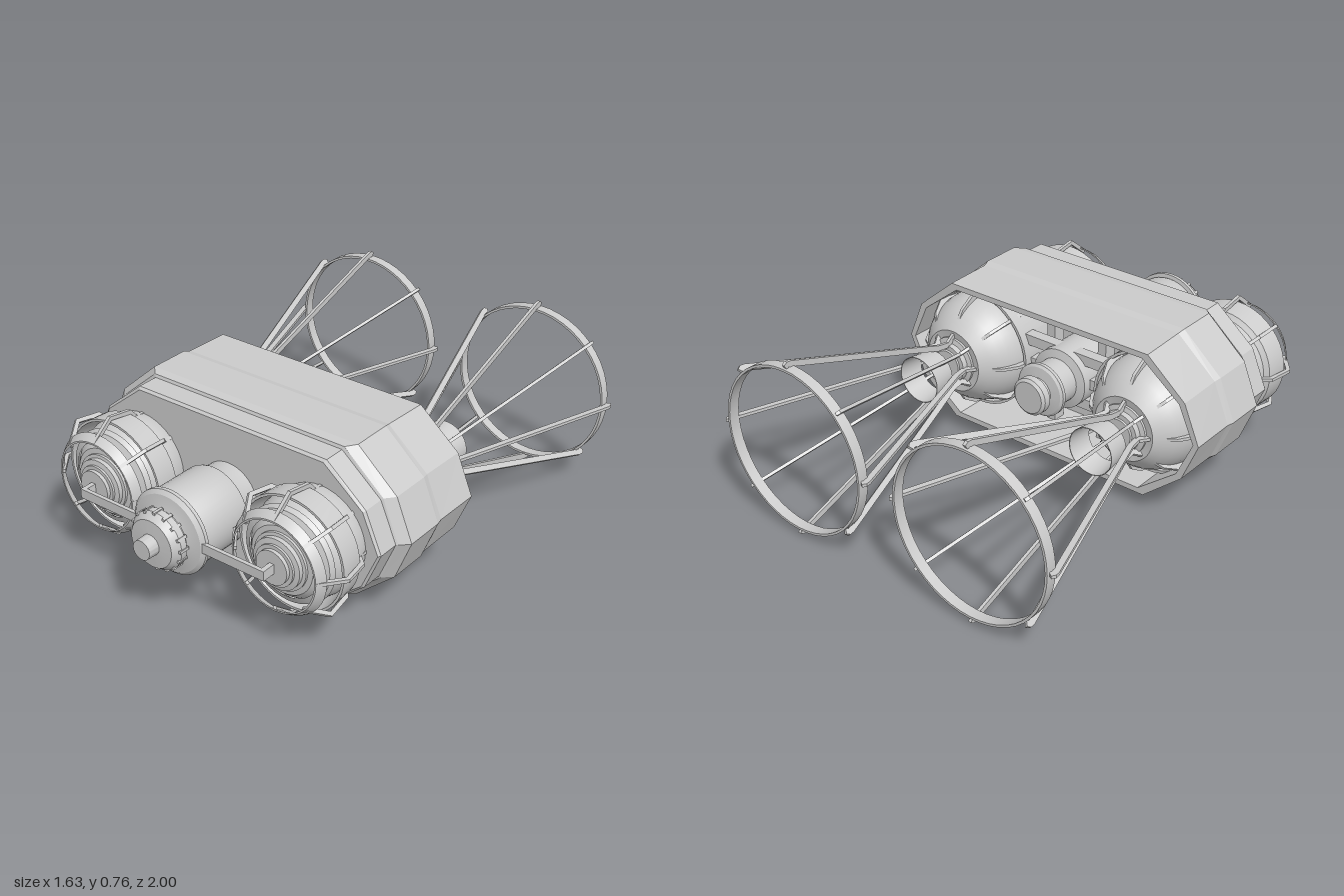
import * as THREE from 'three';
import { toCreasedNormals } from 'three/addons/utils/BufferGeometryUtils.js';

const CY = 0.378; // height of the main axes
const POD_X = 0.435; // sideways offset of each pod
const grey = new THREE.MeshStandardMaterial({ color: 0xcccccc, side: THREE.DoubleSide });
const flat = new THREE.MeshStandardMaterial({ color: 0xcccccc, flatShading: true });

function add(parent, name, geometry, material = grey) {
  const mesh = new THREE.Mesh(geometry, material);
  mesh.name = name;
  parent.add(mesh);
  return mesh;
}

// Turned part along z; points are [radius, z]
function turned(points, sides = 40) {
  const g = new THREE.LatheGeometry(points.map(([r, z]) => new THREE.Vector2(r, z)), sides);
  g.rotateX(Math.PI / 2);
  return toCreasedNormals(g, 0.45);
}

// Points of a dome between two z values, given as [radius, z]
function arc(radius, centre, z0, z1, n = 12) {
  return Array.from({ length: n + 1 }, (_, i) => {
    const z = z0 + (z1 - z0) * i / n;
    return [Math.sqrt(Math.max(0, radius ** 2 - (z - centre) ** 2)), z];
  });
}

// Bent flat bar lying in a radial plane; points are [z, outer radius]
function ribGeometry(points, thick, width) {
  const outer = points.map(p => new THREE.Vector2(...p));
  const inner = outer.map((p, i) => {
    const a = outer[Math.max(0, i - 1)], b = outer[Math.min(outer.length - 1, i + 1)];
    const d = b.clone().sub(a).normalize();
    const sign = d.x > 0 ? 1 : -1;
    return new THREE.Vector2(p.x + sign * d.y * thick, p.y - sign * d.x * thick);
  });
  const g = new THREE.ExtrudeGeometry(new THREE.Shape([...outer, ...inner.reverse()]),
    { depth: width, bevelEnabled: false });
  g.translate(0, 0, -width / 2);
  g.rotateY(-Math.PI / 2);
  return g;
}

function ribs(parent, name, points, thick, width) {
  const g = ribGeometry(points, thick, width);
  for (let i = 0; i < 8; i++) add(parent, name, g).rotation.z = i * Math.PI / 4;
}

// Ten-sided outline of the housing
function outline(a, b, z) {
  if (a === 0) return Array(10).fill([0, 0, z]);
  const q = [[a, 0], [a - 0.07, b * 0.53], [a - 0.245, b]];
  return [q[0], q[1], q[2], [-q[2][0], b], [-q[1][0], q[1][1]], [-a, 0],
    [-q[1][0], -q[1][1]], [-q[2][0], -b], [q[2][0], -b], [q[1][0], -q[1][1]]]
    .map(([x, y]) => [x, y, z]);
}

// Housing: outer skin front to back, then round the rim into the rear recess
function housingGeometry() {
  const loops = [
    [0, 0, 0.515], [0.69, 0.3, 0.515], [0.698, 0.31, 0.505], [0.698, 0.31, 0.415],
    [0.705, 0.322, 0.41], [0.74, 0.328, 0.375], [0.74, 0.328, 0.205], [0.733, 0.32, 0.175],
    [0.735, 0.314, -0.03], [0.71, 0.29, -0.03], [0.71, 0.29, 0.28], [0, 0, 0.28],
  ].map(l => outline(...l));
  const pos = [];
  const same = (p, q) => p.every((v, i) => v === q[i]);
  const tri = (a, b, c) => {
    if (!same(a, b) && !same(b, c) && !same(a, c)) pos.push(...a, ...b, ...c);
  };
  for (let k = 0; k < loops.length - 1; k++) {
    for (let i = 0; i < 10; i++) {
      const j = (i + 1) % 10, f = loops[k], b = loops[k + 1];
      tri(f[i], b[i], b[j]);
      tri(f[i], b[j], f[j]);
    }
  }
  const g = new THREE.BufferGeometry();
  g.setAttribute('position', new THREE.Float32BufferAttribute(pos, 3));
  g.computeVertexNormals();
  return g;
}

function makePod() {
  const pod = new THREE.Group();

  // Front dome with stepped nose, set in an open bowl
  add(pod, 'frontDome', turned([...arc(0.212, 0.58, 0.74, 0.5).reverse(),
    [0.118, 0.742], [0.118, 0.752], [0.105, 0.754], [0.105, 0.772], [0.085, 0.776],
    [0.085, 0.785], [0.07, 0.785], [0.07, 0.8], [0, 0.8]]));
  add(pod, 'domeBand', turned([[0.19, 0.69], [0.2, 0.69], [0.19, 0.71], [0.16, 0.725]]));
  add(pod, 'frontBowl', turned([[0.185, 0.51], [0.185, 0.555], [0.21, 0.575], [0.232, 0.59],
    [0.238, 0.69], [0.228, 0.69], [0.205, 0.6]]));

  // Front cage
  ribs(pod, 'frontCageRib',
    [[0.51, 0.205], [0.55, 0.208], [0.585, 0.248], [0.695, 0.265], [0.79, 0.19]], 0.018, 0.014);
  add(pod, 'frontCageRing', turned([[0.212, 0.755], [0.19, 0.79], [0.183, 0.79], [0.205, 0.755], [0.212, 0.755]]));

  // Rear dome, collar and nozzle
  add(pod, 'rearDome', turned([[0, -0.135], [0.06, -0.135], [0.065, -0.13], [0.085, -0.13],
    [0.085, -0.105], [0.105, -0.1], [0.105, -0.09], ...arc(0.238, 0.1, -0.095, 0.29)]));
  add(pod, 'rearCollar', turned([[0.24, 0.28], [0.255, 0.25], [0.262, 0.06], [0.25, 0.06], [0.235, 0.2]]));
  add(pod, 'nozzleBand', turned([[0.1, -0.305], [0.088, -0.2], [0.085, -0.2], [0.097, -0.305], [0.1, -0.305]]));

  // Rear cage spreading to an end hoop
  ribs(pod, 'rearCageRib', [[0.12, 0.262], [0.03, 0.252], [-0.035, 0.212], [-0.09, 0.128],
    [-0.13, 0.1], [-0.18, 0.108], [-0.3, 0.15], [-0.965, 0.376], [-0.985, 0.378], [-1, 0.368]], 0.024, 0.013);
  add(pod, 'rearHoop', turned([[0.352, -1], [0.352, -0.955], [0.342, -0.955], [0.342, -1], [0.352, -1]], 48));
  return pod;
}

export function createModel() {
  const model = new THREE.Group();
  model.name = 'twinPodUnit';
  const core = new THREE.Group();
  core.name = 'core';
  core.position.y = CY;
  model.add(core);

  add(core, 'housing', housingGeometry(), flat);

  for (const side of [1, -1]) {
    const pod = makePod();
    pod.name = side > 0 ? 'leftPod' : 'rightPod';
    pod.position.x = side * POD_X;
    core.add(pod);

    // Bent arm linking the pod nose to the central drum
    add(core, 'armBar', new THREE.BoxGeometry(0.305, 0.04, 0.016)).position.set(side * 0.295, 0, 0.85);
    add(core, 'armEnd', new THREE.BoxGeometry(0.02, 0.04, 0.06)).position.set(side * 0.437, 0, 0.828);
  }

  // Central drum with flange, knob and shaft
  add(core, 'centralDrum', turned([[0.135, 0.51], [0.135, 0.58], [0.14, 0.595], [0.158, 0.6],
    [0.162, 0.61], [0.162, 0.82], [0.158, 0.83], [0.175, 0.833], [0.175, 0.848], [0.16, 0.862],
    [0.125, 0.868], [0.105, 0.875], [0.105, 0.885], [0.12, 0.89], [0.12, 0.918],
    [0.098, 0.948], [0.042, 0.952], [0.04, 1], [0, 1]]));
  const tooth = new THREE.BoxGeometry(0.012, 0.012, 0.045);
  for (let i = 0; i < 16; i++) {
    const a = i * Math.PI / 8;
    const t = add(core, 'knobTooth', tooth);
    t.position.set(0.117 * Math.cos(a), 0.117 * Math.sin(a), 0.905);
    t.rotation.z = a;
  }

  // Rear hub in the recess
  add(core, 'rearHub', turned([[0, -0.14], [0.068, -0.14], [0.08, -0.13], [0.08, -0.1],
    [0.062, -0.088], [0.062, -0.075], [0.105, -0.068], [0.115, -0.06], [0.115, -0.045],
    [0.095, -0.035], [0.095, 0.05], [0.13, 0.06], [0.13, 0.28]]));
  // Cross bars between the pods
  for (const y of [-0.1, 0, 0.1]) {
    add(core, 'crossBar', new THREE.BoxGeometry(0.46, 0.045, 0.05)).position.set(0, y, 0.12);
  }
  for (const x of [-0.13, 0.13]) {
    add(core, 'recessPost', new THREE.BoxGeometry(0.04, 0.58, 0.06)).position.set(x, 0, 0.2);
  }
  return model;
}
